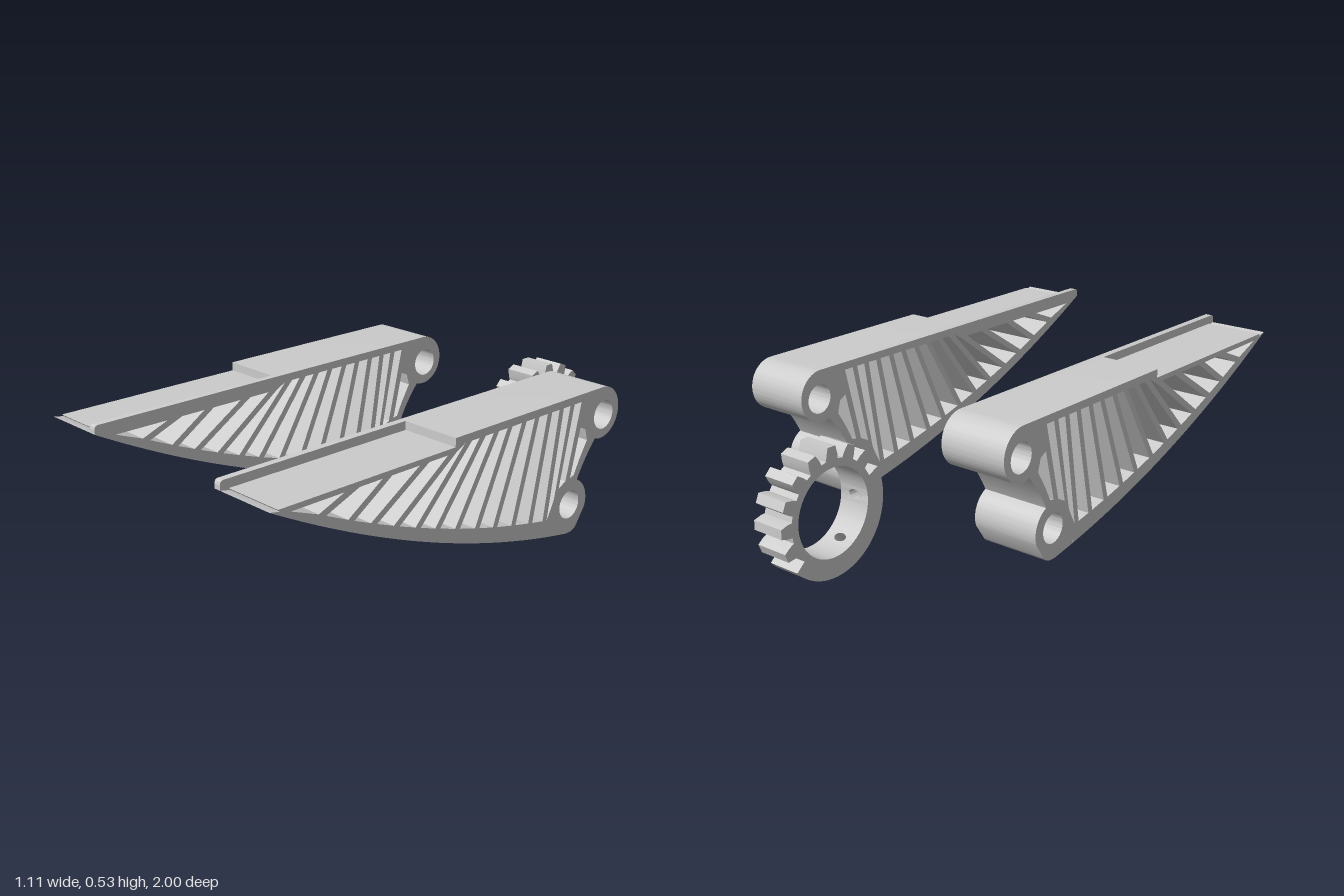
import * as THREE from 'three';
import { toCreasedNormals } from 'three/addons/utils/BufferGeometryUtils.js';

const material = new THREE.MeshStandardMaterial({ color: 0xcccccc });
const rad = THREE.MathUtils.degToRad;

// Profiles are drawn in (p, y) with p = -z, then turned so depth runs along x.
function sideMesh(geo, name, x) {
  geo.rotateY(Math.PI / 2).translate(x, 0, 0);
  const mesh = new THREE.Mesh(toCreasedNormals(geo, 0.5), material);
  mesh.name = name;
  return mesh;
}
const extrude = (shape, depth) =>
  new THREE.ExtrudeGeometry(shape, { depth, bevelEnabled: false, curveSegments: 40 });
const points = pts => pts.map(([p, y]) => new THREE.Vector2(p, y));

// ---- Fin profile ----
const TOP = 0.535, STEP = 0.505, STEP_P = -0.265, PAD = 0.013;
const lower = p => { const u = 0.3 - p; return 0.04 + 0.17 * u + 0.1444 * u * u; };
const floorY = p => lower(p) + 0.03 + 0.035 * (1 - (0.3 - p) / 1.3);
const ceilY = p => (p < STEP_P ? 0.487 : 0.508);

// lower edge from the rear end of the pad to the tip
function lowerEdge(rise) {
  const pts = [];
  for (let i = 0; i <= 32; i++) {
    const p = 0.199 - 1.199 * i / 32;
    pts.push([p, Math.min(lower(p) + rise, STEP)]);
  }
  return pts;
}

// ribs: [p at the top, p at the bottom]
const ribs = [
  [-0.695, -0.81], [-0.555, -0.70], [-0.40, -0.61], [-0.28, -0.517], [-0.206, -0.426],
  [-0.142, -0.34], [-0.078, -0.25], [-0.013, -0.158], [0.056, -0.072], [0.12, 0.019],
  [0.185, 0.105], [0.245, 0.18],
];

// the four corners of a rib: top and bottom, front and rear edge
function ribEdges([t, b], half = 0.0108) {
  const dp = t - b, dy = ceilY(t) - floorY(b), len = Math.hypot(dp, dy);
  const slope = (floorY(b + 0.01) - floorY(b - 0.01)) / 0.02;
  const kt = half * len / dy;
  const kb = half / (dy / len - slope * dp / len);
  const edge = s => ({ top: [t + s * kt, ceilY(t)], bottom: [b + s * kb, floorY(b + s * kb)] });
  return { front: edge(-1), rear: edge(1) };
}

function finWindows() {
  const edges = ribs.map(r => ribEdges(r));
  const windows = [[[-0.925, 0.487], edges[0].front.bottom, edges[0].front.top]];
  for (let i = 0; i + 1 < edges.length; i++) {
    const a = edges[i].rear, b = edges[i + 1].front;
    windows.push([a.top, a.bottom, b.bottom, b.top]);
  }
  const last = edges[edges.length - 1].rear;
  // openings beside the lugs
  windows.push([last.top, last.bottom, [0.214, 0.165], [0.226, 0.192], [0.291, 0.508]]);
  windows.push([[0.313, 0.508], [0.248, 0.222], [0.283, 0.24], [0.35, 0.508]]);
  windows.push([[0.352, 0.42], [0.307, 0.245], [0.326, 0.25], [0.352, 0.3], [0.39, 0.362], [0.378, 0.405]]);
  return windows;
}

function finShape(recessed) {
  const s = new THREE.Shape();
  if (recessed) {
    s.moveTo(-0.97, STEP);
    s.lineTo(STEP_P, STEP);
    s.lineTo(STEP_P, TOP);
  } else {
    s.moveTo(-1, 0.52);
    s.quadraticCurveTo(-1, TOP, -0.985, TOP);
  }
  s.lineTo(0.465, TOP);
  s.absarc(0.465, 0.443, 0.092, Math.PI / 2, rad(-110), true);   // upper lug
  s.quadraticCurveTo(0.375, 0.29, 0.346, 0.229);
  s.absarc(0.308, 0.147, 0.09, rad(62), rad(-20), true);         // lower lug
  s.lineTo(0.355, 0.062);
  s.quadraticCurveTo(0.34, 0.035, 0.29, lower(0.29));
  s.lineTo(0.2, lower(0.2));
  for (const [p, y] of lowerEdge(recessed ? PAD : 0))
    if (!recessed || y < STEP) s.lineTo(p, y);
  s.closePath();
  for (const w of finWindows()) s.holes.push(new THREE.Path(points(w)));
  for (const [p, y] of [[0.474, 0.434], [0.308, 0.147]]) {
    const bore = new THREE.Path();
    bore.absarc(p, y, 0.051, 0, Math.PI * 2, false);
    s.holes.push(bore);
  }
  return s;
}

function fin(name, side) {
  const g = new THREE.Group();
  g.name = name;
  const [inner, lip, outer] = [0.31, 0.335, 0.555];
  const bodyX = side > 0 ? lip : -outer;
  // strip lying flush in the recess under the body
  const pad = new THREE.Shape(points([...lowerEdge(0), ...lowerEdge(PAD).reverse().slice(1)]));
  g.add(sideMesh(extrude(finShape(true), outer - lip), 'ribbedBody', bodyX));
  g.add(sideMesh(extrude(pad, outer - lip), 'lowerPad', bodyX));
  g.add(sideMesh(extrude(finShape(false), lip - inner), 'innerLip', side > 0 ? inner : -lip));
  return g;
}

// ---- Gear ring ----
const GP = 0.78, GY = 0.22, RO = 0.22, RI = 0.15, ROOT = 0.177, HALF = 0.06;
const polar = (r, deg) => [GP + r * Math.cos(rad(deg)), GY + r * Math.sin(rad(deg))];

function sector(from, to, toothed) {
  const s = new THREE.Shape();
  s.moveTo(...polar(RI, from));
  if (toothed) {
    s.absarc(GP, GY, RO, rad(from), rad(318), false);
    s.lineTo(...polar(ROOT, 318));
    for (let k = 0; k < 8; k++) {
      const c = 337.5 + 22.5 * k;
      for (const [r, d] of [[ROOT, -8], [0.195, -6.8], [RO, -4.2], [RO, 4.2], [0.195, 6.8], [ROOT, 8]])
        s.lineTo(...polar(r, c + d));
    }
    s.lineTo(...polar(ROOT, 514));
    s.absarc(GP, GY, RO, rad(514), rad(to), false);
  } else s.absarc(GP, GY, RO, rad(from), rad(to), false);
  s.absarc(GP, GY, RI, rad(to), rad(from), true);
  return extrude(s, HALF * 2);
}

// flat plate with a round hole, bent onto the ring
function drilledPatch(center, half, r0, r1, hole) {
  const w = rad(half) * RO, n = 8, pts = [];
  for (let i = 0; i <= n; i++) pts.push([-w + 2 * w * i / n, -HALF]);
  for (let i = 0; i <= n; i++) pts.push([w - 2 * w * i / n, HALF]);
  const s = new THREE.Shape(points(pts));
  const h = new THREE.Path();
  h.absarc(0, 0, hole, 0, Math.PI * 2, false);
  s.holes.push(h);
  const geo = extrude(s, r1 - r0), pos = geo.attributes.position;
  for (let i = 0; i < pos.count; i++) {
    const a = rad(center) + pos.getX(i) / RO, r = r0 + pos.getZ(i);
    pos.setXYZ(i, GP + r * Math.cos(a), GY + r * Math.sin(a), pos.getY(i) + HALF);
  }
  return geo;
}

function gear() {
  const g = new THREE.Group();
  g.name = 'gearRing';
  const half = 11, screws = [180, 238];
  g.add(sideMesh(sector(screws[1] + half, 540 - half, true), 'toothedSector', -HALF));
  g.add(sideMesh(sector(screws[0] + half, screws[1] - half, false), 'plainSector', -HALF));
  for (const c of screws) {
    g.add(sideMesh(drilledPatch(c, half, 0.185, RO, 0.037), 'screwCounterbore', -HALF));
    g.add(sideMesh(drilledPatch(c, half, RI, 0.185, 0.023), 'screwHole', -HALF));
  }
  return g;
}

export function createModel() {
  const model = new THREE.Group();
  model.name = 'finsAndGear';
  model.add(fin('leftFin', 1), fin('rightFin', -1), gear());
  return model;
}
